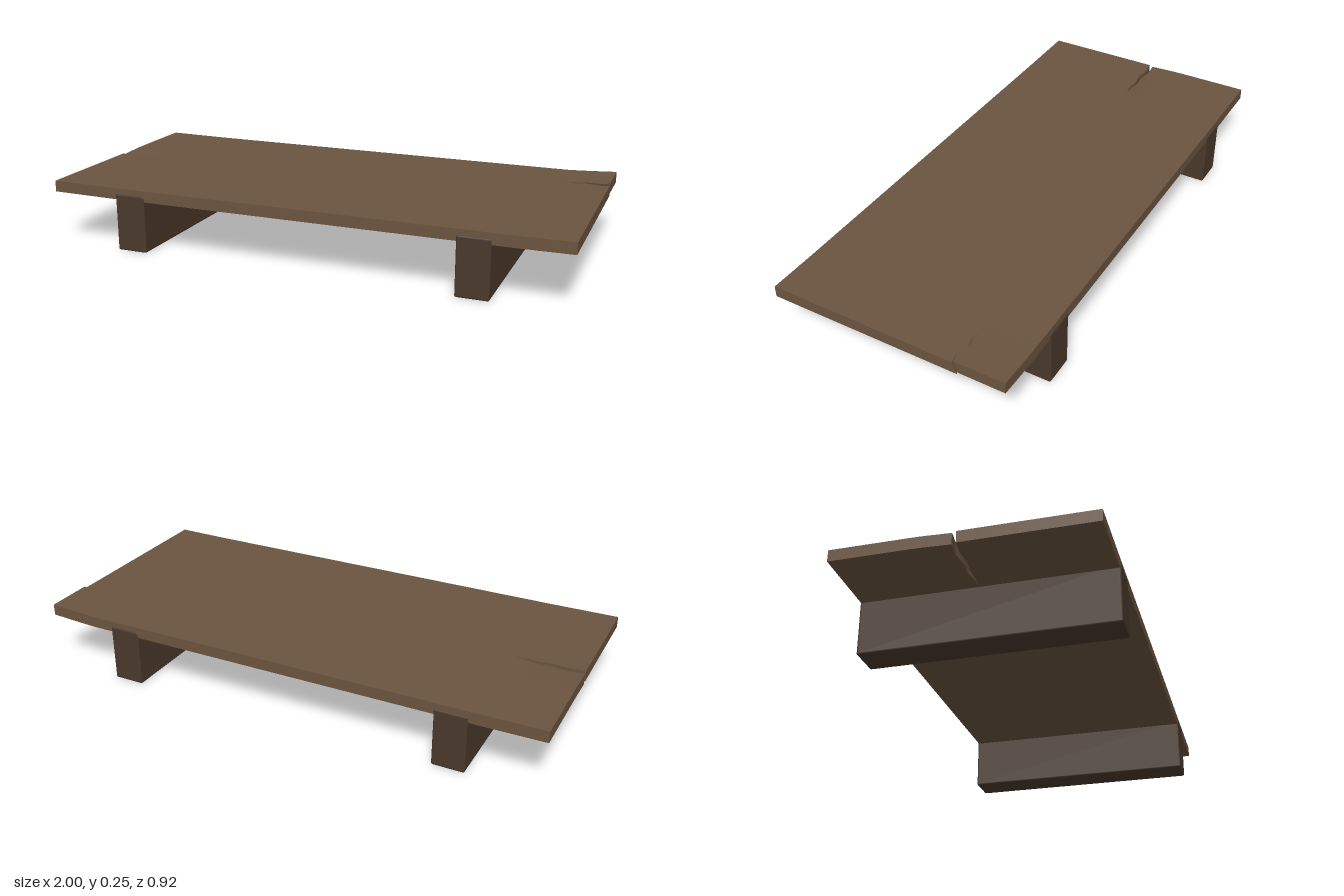
import * as THREE from 'three';
import { RoundedBoxGeometry } from 'three/addons/geometries/RoundedBoxGeometry.js';

const BOTTOM = 0.2, TOP = 0.243, HALF = 0.455;
const wood = new THREE.MeshStandardMaterial({ color: 0x6b5440 });
const darkWood = new THREE.MeshStandardMaterial({ color: 0x4a392c });

// A piece of the top: z edges may follow a curve in x, and lift bends it up or down.
function slab(name, x0, x1, zBack, zFront, lift = () => 0) {
  const nx = x1 - x0 > 1 ? 1 : 16;
  const geo = new THREE.BoxGeometry(1, 1, 1, nx, 1, 12);
  const p = geo.attributes.position;
  for (let i = 0; i < p.count; i++) {
    const x = THREE.MathUtils.lerp(x0, x1, p.getX(i) + 0.5);
    const t = p.getY(i) + 0.5;
    const z = THREE.MathUtils.lerp(zBack(x, t), zFront(x, t), p.getZ(i) + 0.5);
    p.setXYZ(i, x, THREE.MathUtils.lerp(BOTTOM, TOP, t) + lift(x, z), z);
  }
  geo.computeVertexNormals();
  const mesh = new THREE.Mesh(geo, wood);
  mesh.name = name;
  return mesh;
}

export function createModel() {
  const group = new THREE.Group();
  const back = () => -HALF, front = () => HALF;
  const LX = -0.74, RX = 0.8;

  // Main span of the table top
  group.add(slab('topBoard', LX, RX, back, front));

  // Right end: split by a long ragged crack that widens to the edge
  const rightRun = x => (LX - x) / (LX + 1);
  const rag = x => 0.003 * Math.sin(x * 55) * Math.min(1, rightRun(x) * 4);
  const crackZ = x => -0.026 + rag(x);
  const gap = x => 0.007 * Math.sqrt(Math.max(0, rightRun(x)));
  const sag = (x, z) => 0.002 * rightRun(x)
    - 0.007 * Math.sin(Math.PI * 0.75 * rightRun(x)) * Math.max(0, 1 - Math.abs(z + 0.026) / 0.12);
  group.add(slab('rightEndFront', -1, LX, x => crackZ(x) + gap(x), front, x => 0.002 * rightRun(x)));
  group.add(slab('rightEndBack', -1, LX, back, x => crackZ(x) - gap(x), sag));

  // Left end: the back corner has split off along a slanted crack and warped upward
  const leftRun = x => (x - RX) / (1 - RX);
  const splitZ = (x, t) => -0.262 + 0.005 * Math.sin(x * 60) * Math.min(1, leftRun(x) * 4)
    - 0.016 * (1 - t) * leftRun(x);
  const open = x => 0.003 * leftRun(x);
  group.add(slab('leftEndFront', RX, 1, (x, t) => splitZ(x, t) + open(x), front, x => 0.002 * leftRun(x)));
  group.add(slab('leftEndBack', RX, 1, back, (x, t) => splitZ(x, t) - open(x),
    x => 0.01 * leftRun(x) ** 1.3));

  // Two full-depth support beams, let slightly into the top
  for (const [name, x] of [['leftBeam', 0.661], ['rightBeam', -0.666]]) {
    const beam = new THREE.Mesh(new RoundedBoxGeometry(0.122, 0.222, 0.918, 2, 0.007), darkWood);
    beam.name = name;
    beam.position.set(x, 0.111, 0);
    group.add(beam);
  }
  return group;
}
